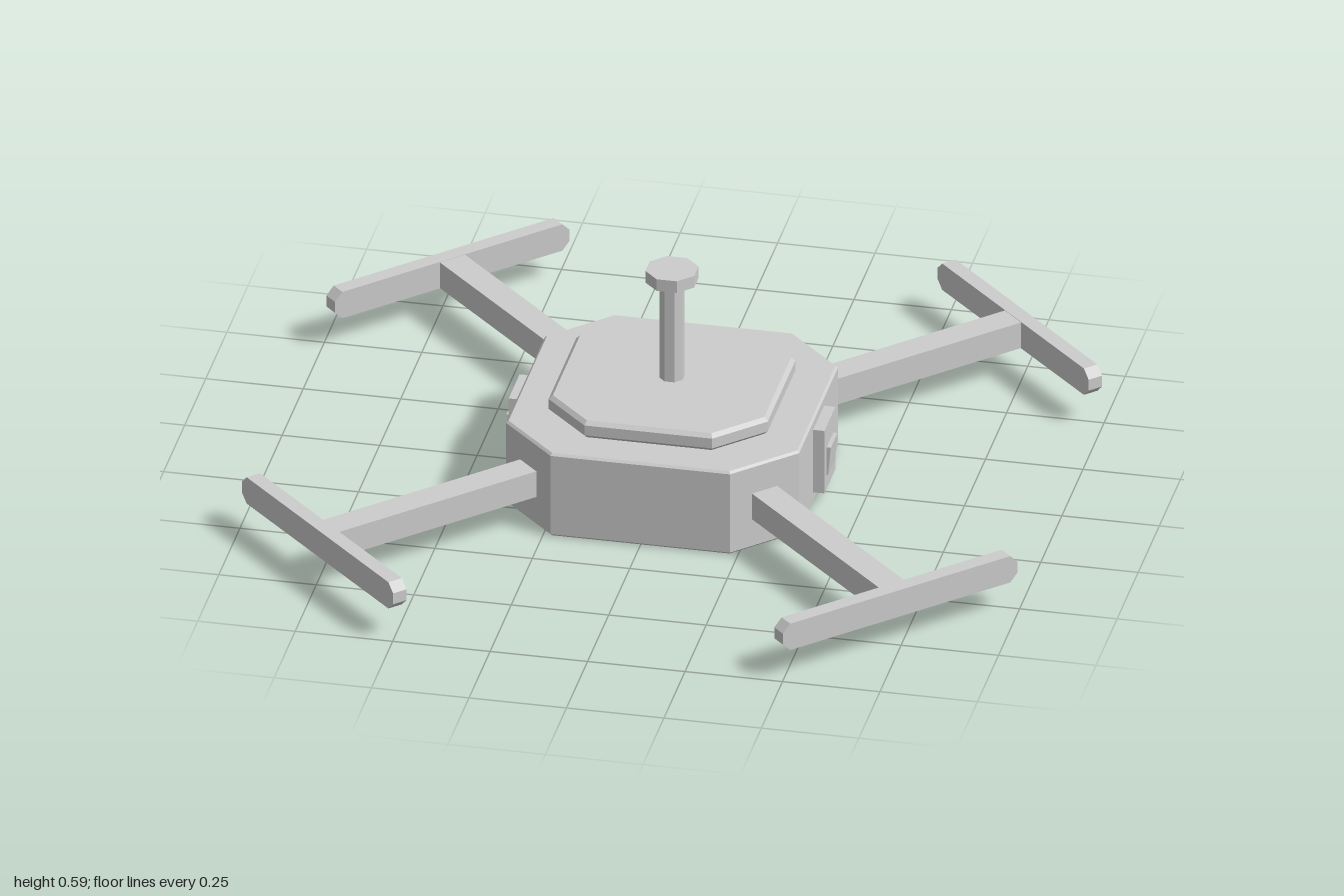
import * as THREE from 'three';

const grey = new THREE.MeshStandardMaterial({ color: 0xcccccc });
grey.name = 'light grey';
grey.flatShading = true;

function add(parent, name, geometry, x = 0, y = 0, z = 0) {
  const mesh = new THREE.Mesh(geometry, grey);
  mesh.name = name;
  mesh.position.set(x, y, z);
  parent.add(mesh);
  return mesh;
}

// Rectangle with all four corners cut by c
function cutRectangle(hx, hy, c) {
  return new THREE.Shape([
    [hx, -hy + c], [hx, hy - c], [hx - c, hy], [-hx + c, hy],
    [-hx, hy - c], [-hx, -hy + c], [-hx + c, -hy], [hx - c, -hy],
  ].map(([x, y]) => new THREE.Vector2(x, y)));
}

// Upright eight-sided slab from y0 to y1 with slightly bevelled rims
function octagonSlab(half, cut, y0, y1, bevel) {
  const g = new THREE.ExtrudeGeometry(cutRectangle(half, half, cut), {
    depth: y1 - y0 - 2 * bevel, bevelEnabled: bevel > 0,
    bevelSize: bevel, bevelThickness: bevel, bevelOffset: -bevel, bevelSegments: 1,
  });
  return g.rotateX(-Math.PI / 2).translate(0, y0 + bevel, 0);
}

export function createModel() {
  const model = new THREE.Group();
  model.name = 'quadcopter';

  // Hull, lid and mast
  add(model, 'hull', octagonSlab(0.376, 0.146, 0, 0.235, 0.006));
  add(model, 'lid', octagonSlab(0.281, 0.117, 0.235, 0.283, 0.01));
  add(model, 'mast', octagonSlab(0.03, 0.0176, 0.28, 0.56, 0));
  add(model, 'mastHead', octagonSlab(0.0625, 0.0366, 0.557, 0.59, 0));

  // Four diagonal arms, each ending in a cross bar with cut ends
  const barShape = cutRectangle(0.35, 0.0375, 0.022);
  const barGeometry = new THREE.ExtrudeGeometry(barShape, { depth: 0.04, bevelEnabled: false })
    .translate(0, 0, -0.02).rotateY(Math.PI / 2);
  const armGeometry = new THREE.BoxGeometry(0.63, 0.073, 0.075);
  for (let i = 0; i < 4; i++) {
    const arm = new THREE.Group();
    arm.name = 'armAssembly' + (i + 1);
    arm.rotation.y = Math.PI / 4 + i * Math.PI / 2;
    add(arm, 'arm', armGeometry, 0.71, 0.1185, 0);
    add(arm, 'rotorBar', barGeometry, 1.037, 0.1185, 0);
    model.add(arm);
  }

  // Side hatches with a wedge-shaped catch, proud at its top edge
  const wedge = new THREE.Shape([
    new THREE.Vector2(0, 0.07), new THREE.Vector2(0.006, 0.07),
    new THREE.Vector2(0.013, 0.148), new THREE.Vector2(0, 0.148),
  ]);
  const wedgeGeometry = new THREE.ExtrudeGeometry(wedge, { depth: 0.08, bevelEnabled: false })
    .translate(0, 0, -0.04);
  for (const side of [0, 1]) {
    const hatch = new THREE.Group();
    hatch.name = side ? 'rightHatch' : 'leftHatch';
    hatch.rotation.y = side * Math.PI;
    add(hatch, 'hatchPanel', new THREE.BoxGeometry(0.04, 0.178, 0.13), 0.385, 0.119, 0);
    add(hatch, 'hatchCatch', wedgeGeometry, 0.403, 0, 0);
    model.add(hatch);
  }

  return model;
}
